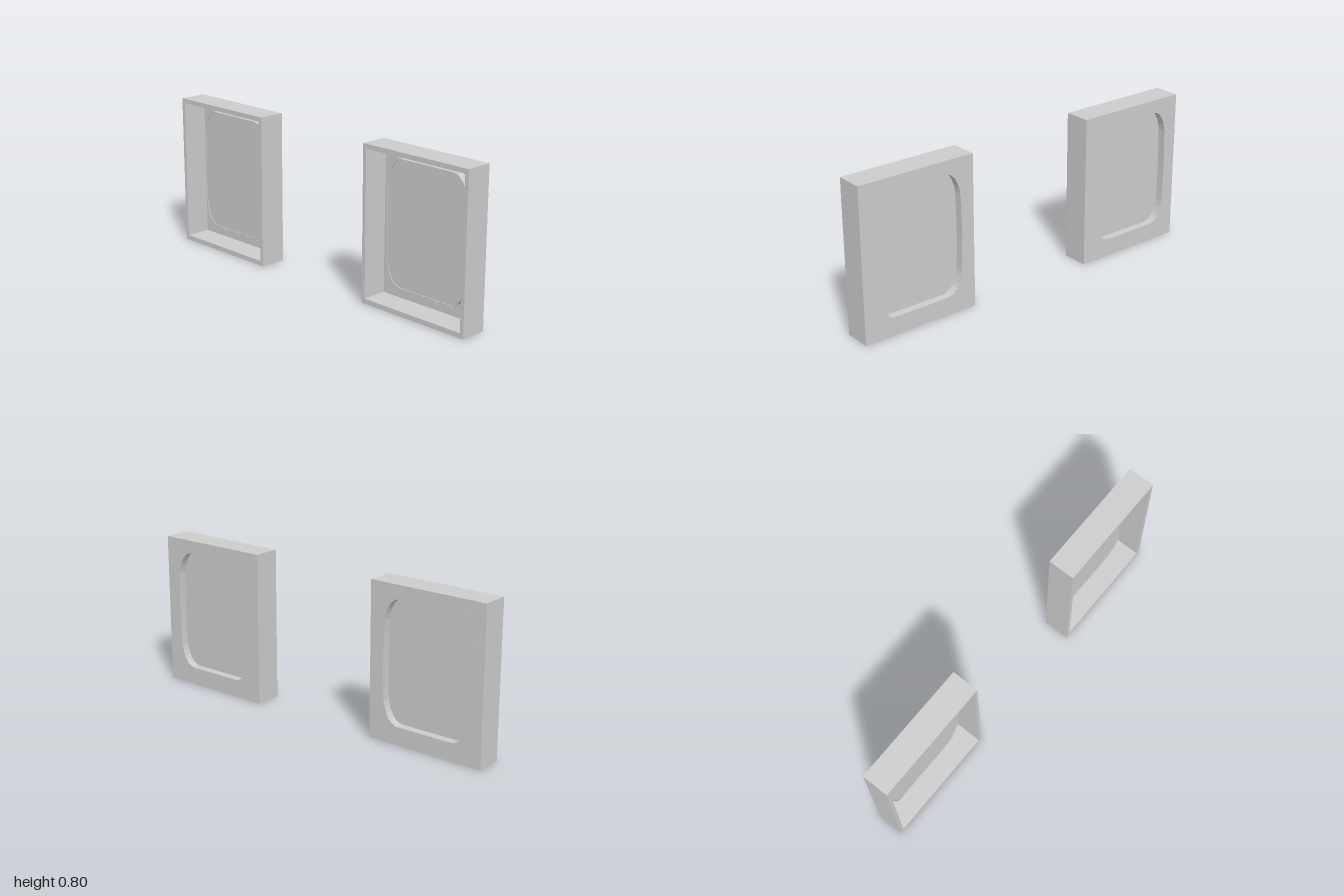
import * as THREE from 'three';

const material = new THREE.MeshStandardMaterial({ color: 0xcccccc, flatShading: true });
const CY = 0.413; // height of the window centre

// Rounded window outline (half sizes w, h; corner extents rx, ry) with slightly bowed sides
function outline(w, h, rx, ry, Type = THREE.Shape) {
  const s = new Type();
  const bow = 0.006, e = w - bow;
  s.moveTo(e, CY - h + ry);
  s.quadraticCurveTo(w + bow, CY, e, CY + h - ry);
  s.bezierCurveTo(e - 0.01, CY + h - ry * 0.4, e - rx * 0.5, CY + h, e - rx, CY + h);
  s.lineTo(-e + rx, CY + h);
  s.bezierCurveTo(-e + rx * 0.5, CY + h, -e + 0.01, CY + h - ry * 0.4, -e, CY + h - ry);
  s.quadraticCurveTo(-w - bow, CY, -e, CY - h + ry);
  s.bezierCurveTo(-e + 0.01, CY - h + ry * 0.4, -e + rx * 0.5, CY - h, -e + rx, CY - h);
  s.lineTo(e - rx, CY - h);
  s.bezierCurveTo(e - rx * 0.5, CY - h, e - 0.01, CY - h + ry * 0.4, e, CY - h + ry);
  return s;
}

const opening = (grow = 0, Type) => outline(0.245 + grow, 0.318 + grow, 0.085, 0.115, Type);

function rect(x0, y0, x1, y1, Type = THREE.Shape) {
  const s = new Type();
  s.moveTo(x0, y0);
  s.lineTo(x1, y0);
  s.lineTo(x1, y1);
  s.lineTo(x0, y1);
  s.closePath();
  return s;
}

// Extrude a shape with an optional hole between two depths
function slab(name, shape, hole, z0, z1) {
  if (hole) shape.holes.push(hole);
  const geometry = new THREE.ExtrudeGeometry(shape, { depth: z1 - z0, bevelEnabled: false, curveSegments: 6 });
  geometry.translate(0, 0, z0);
  const mesh = new THREE.Mesh(geometry, material);
  mesh.name = name;
  return mesh;
}

function createRivets() {
  const rivets = new THREE.Group();
  rivets.name = 'rivets';
  const geometry = new THREE.CylinderGeometry(0.004, 0.006, 0.004, 8).rotateX(Math.PI / 2);
  const add = (x, y) => {
    const rivet = new THREE.Mesh(geometry, material);
    rivet.name = 'rivet';
    rivet.position.set(x, CY + y, -0.059);
    rivets.add(rivet);
  };
  for (const side of [-1, 1]) {
    for (let i = 0; i < 6; i++) add(side * 0.262, (i - 2.5) * 0.095);
    for (let i = 0; i < 4; i++) add((i - 1.5) * 0.09, side * 0.347);
    for (const end of [-1, 1]) add(side * 0.212, end * 0.312);
  }
  return rivets;
}

function createPanel(name, x, windowX) {
  const panel = new THREE.Group();
  panel.name = name;
  panel.position.x = x;

  // Deep outer frame, open at the front
  panel.add(slab('outerFrame', rect(-0.32, 0, 0.32, 0.8),
    rect(-0.3, 0.026, 0.3, 0.776, THREE.Path), -0.07, 0.072));

  // Thin back wall, flange, collar and pane around the opening
  const backWall = slab('backWall', rect(-0.3 - windowX, 0.026, 0.3 - windowX, 0.776),
    opening(0, THREE.Path), -0.07, -0.063);
  const flange = slab('flange', outline(0.279, 0.361, 0.1, 0.135), opening(0.001, THREE.Path), -0.0705, -0.06);
  const collar = slab('collar', opening(0.004), opening(0, THREE.Path), -0.0695, -0.022);
  const pane = slab('pane', opening(0.002), null, -0.028, -0.026);

  const windowGroup = new THREE.Group();
  windowGroup.name = 'window';
  windowGroup.position.x = windowX;
  windowGroup.add(backWall, flange, collar, pane, createRivets());
  panel.add(windowGroup);
  return panel;
}

export function createModel() {
  const model = new THREE.Group();
  model.name = 'windowPanels';
  model.add(createPanel('rightPanel', -0.68, -0.003), createPanel('leftPanel', 0.68, -0.003));
  return model;
}
